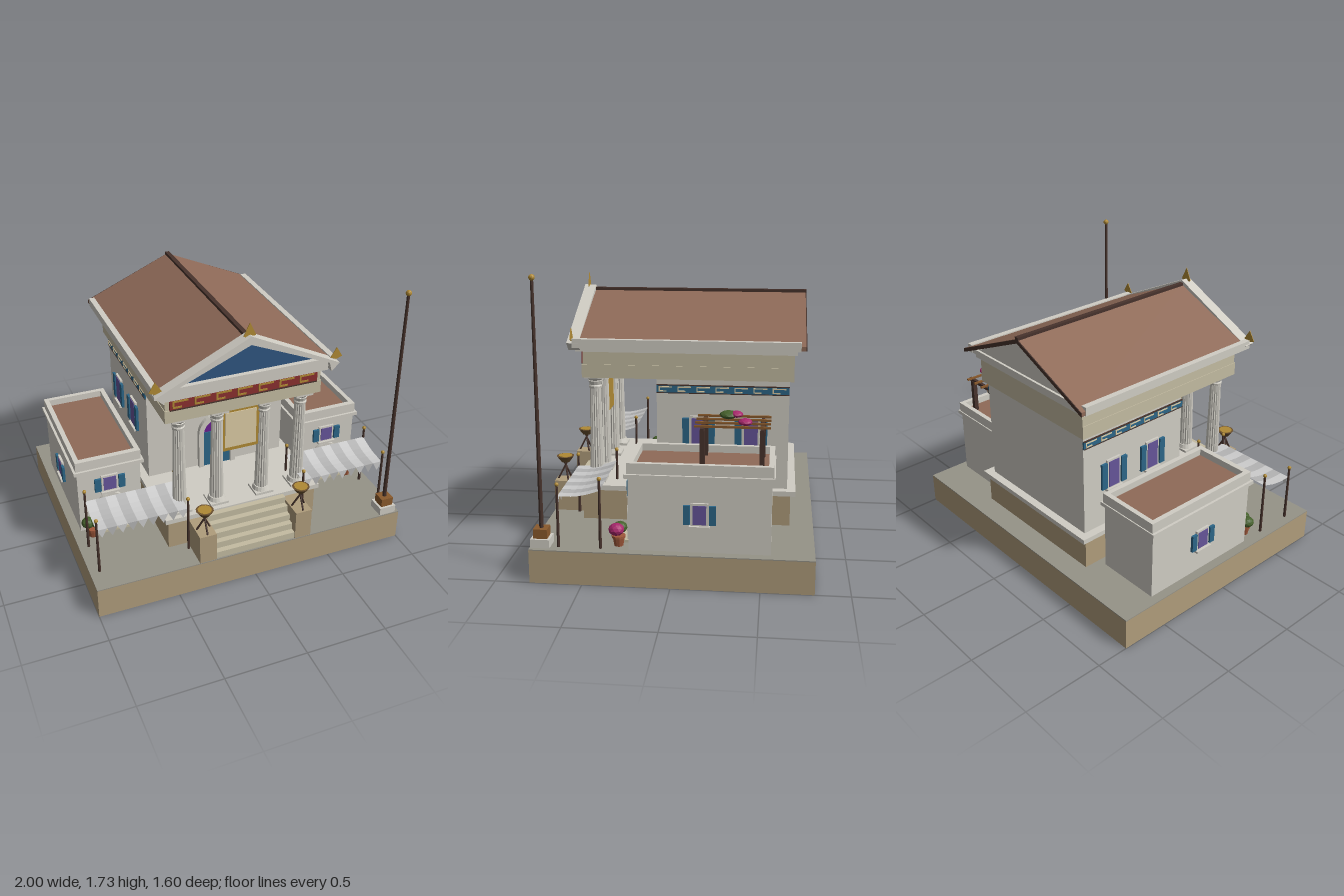
import * as THREE from 'three';

const mat = (color, extra = {}) => new THREE.MeshStandardMaterial({ color, flatShading: true, ...extra });
const M = {
  wall: mat(0xd0cdc4), tan: mat(0xb09d7c), cream: mat(0xc4bca2), paving: mat(0x969388), roof: mat(0x8f6a58),
  dark: mat(0x47332c), blue: mat(0x2c6688), navy: mat(0x2f5580), red: mat(0x8a3030), gold: mat(0xb08a35),
  linen: mat(0xdccba4), purple: mat(0x6a2090), glass: mat(0x66559a), bronze: mat(0x6b5030), clay: mat(0xa0583a),
  leaf: mat(0x45602c), flower: mat(0xa8286c), block: mat(0x8a5a2c),
  stripeA: mat(0xe6e6e6, { side: THREE.DoubleSide }), stripeB: mat(0xb4b4b4, { side: THREE.DoubleSide }),
};

function add(parent, name, geo, material, x = 0, y = 0, z = 0) {
  const m = new THREE.Mesh(geo, material);
  m.name = name;
  m.position.set(x, y, z);
  parent.add(m);
  return m;
}
// Box from its limits
const box = (p, name, m, x0, x1, y0, y1, z0, z1) =>
  add(p, name, new THREE.BoxGeometry(x1 - x0, y1 - y0, z1 - z0), m, (x0 + x1) / 2, (y0 + y1) / 2, (z0 + z1) / 2);
const rod = (p, name, m, r0, r1, x, y0, y1, z, n = 8) =>
  add(p, name, new THREE.CylinderGeometry(r1, r0, y1 - y0, n), m, x, (y0 + y1) / 2, z);
const extrude = (p, name, m, pts, z0, z1) =>
  add(p, name, new THREE.ExtrudeGeometry(new THREE.Shape(pts.map(q => new THREE.Vector2(...q))),
    { depth: z1 - z0, bevelEnabled: false }), m, 0, 0, z0);
function group(parent, name, x = 0, y = 0, z = 0, ry = 0) {
  const g = new THREE.Group();
  g.name = name;
  g.position.set(x, y, z);
  g.rotation.y = ry;
  parent.add(g);
  return g;
}

// Round-headed slab standing on y = 0, optionally with a round-headed opening
function archGeo(r, spring, depth, hole) {
  const trace = (s, q) => s.moveTo(-q, 0).lineTo(q, 0).lineTo(q, spring).absarc(0, spring, q, 0, Math.PI, false).lineTo(-q, 0);
  const s = new THREE.Shape();
  if (hole) {
    s.moveTo(-r, 0).lineTo(-hole, 0).lineTo(-hole, spring).absarc(0, spring, hole, Math.PI, 0, true)
      .lineTo(hole, 0).lineTo(r, 0).lineTo(r, spring).absarc(0, spring, r, 0, Math.PI, false).lineTo(-r, 0);
  } else trace(s, r);
  return new THREE.ExtrudeGeometry(s, { depth, bevelEnabled: false, curveSegments: 10 });
}

// Shuttered window facing +z, centred on its origin
function windowUnit(parent, w, h, x, y, z, ry) {
  const g = group(parent, 'window', x, y, z, ry), a = w / 2, b = h / 2;
  box(g, 'windowFrame', M.wall, -a - 0.012, a + 0.012, -b - 0.012, b + 0.012, 0, 0.014);
  box(g, 'windowPane', M.glass, -a, a, -b, b, 0.005, 0.018);
  box(g, 'windowSill', M.wall, -a - 0.02, a + 0.02, -b - 0.022, -b - 0.008, 0, 0.03);
  for (const s of [-1, 1])
    add(g, 'shutter', new THREE.BoxGeometry(w * 0.5, h, 0.016), M.blue, s * (a + 0.016 + w * 0.25), 0, 0.014);
}

// Band of key pattern facing +z
function meander(parent, name, len, h, n, back, front, x, y, z, ry = 0) {
  const g = group(parent, name, x, y, z, ry), p = len / n, t = h * 0.14;
  box(g, 'friezeBand', back, -len / 2, len / 2, -h / 2, h / 2, -0.004, 0.008);
  for (const s of [-1, 1])
    add(g, 'friezeEdge', new THREE.BoxGeometry(len, h * 0.1, 0.014), M.dark, 0, s * h * 0.47, 0.003);
  for (let i = 0; i < n; i++) {
    const x0 = -len / 2 + p * (i + 0.12);
    box(g, 'keyUpright', front, x0, x0 + t, -h * 0.32, h * 0.32, 0, 0.012);
    box(g, 'keyTop', front, x0, x0 + p * 0.72, h * 0.32 - t, h * 0.32, 0, 0.012);
    box(g, 'keyFoot', front, x0, x0 + p * 0.42, -h * 0.32, -h * 0.32 + t, 0, 0.012);
  }
}

// Fluted column with a moulded base and leafy capital
function column(parent, x, z) {
  const g = group(parent, 'column', x, 0.42, z);
  box(g, 'columnPlinth', M.wall, -0.06, 0.06, 0, 0.015, -0.06, 0.06);
  rod(g, 'columnBase', M.wall, 0.057, 0.048, 0, 0.015, 0.04, 0, 16);
  const shaft = new THREE.CylinderGeometry(0.034, 0.043, 0.55, 32, 1, true), p = shaft.attributes.position;
  for (let i = 0; i < p.count; i++) {
    const k = (i % 33) % 2 ? 0.88 : 1;
    p.setXYZ(i, p.getX(i) * k, p.getY(i), p.getZ(i) * k);
  }
  add(g, 'columnShaft', shaft, M.wall, 0, 0.315, 0);
  const prof = [[0.038, 0.58], [0.04, 0.592], [0.035, 0.6], [0.044, 0.625], [0.04, 0.628], [0.058, 0.65]];
  add(g, 'columnCapital', new THREE.LatheGeometry(prof.map(q => new THREE.Vector2(...q)), 12), M.wall);
  box(g, 'columnAbacus', M.wall, -0.056, 0.056, 0.645, 0.662, -0.056, 0.056);
}

function bush(parent, m, x, y, z, r, sy = 0.8) {
  add(parent, 'foliage', new THREE.IcosahedronGeometry(r, 1), m, x, y, z).scale.y = sy;
}

// Striped awning with a toothed front edge on four posts, s = side
function awning(root, s) {
  const g = group(root, 'awning'), n = 9, x0 = s > 0 ? 0.38 : -0.94, w = 0.56 / n;
  for (const x of [0.38, 0.94]) for (const [z, h] of [[0.4, 0.61], [0.64, 0.57]]) {
    rod(g, 'awningPost', M.dark, 0.009, 0.007, s * x, 0.2, h, z);
    add(g, 'awningFinial', new THREE.IcosahedronGeometry(0.012, 1), M.gold, s * x, h, z);
  }
  for (let i = 0; i < n; i++) {
    const m = i % 2 ? M.stripeB : M.stripeA, geo = new THREE.PlaneGeometry(w, 0.24, 1, 6), p = geo.attributes.position;
    for (let k = 0; k < p.count; k++) {
      const t = 0.5 - p.getY(k) / 0.24;
      p.setXYZ(k, x0 + w * (i + 0.5) + p.getX(k), 0.54 - 0.04 * t - 0.015 * Math.sin(Math.PI * t), 0.4 + 0.24 * t);
    }
    geo.computeVertexNormals();
    add(g, 'awningStripe', geo, m);
    const tooth = new THREE.Shape([[0, 0.5], [w / 2, 0.44], [w, 0.5]].map(q => new THREE.Vector2(...q)));
    add(g, 'awningTooth', new THREE.ShapeGeometry(tooth), m, x0 + w * i, 0, 0.64);
  }
}

// Side wing with parapet, door and windows
function wing(root, s) {
  const g = group(root, 'wing', s * 0.745), y = 0.71;
  box(g, 'wingWalls', M.wall, -0.2, 0.2, 0.2, 0.66, -0.555, 0.24);
  box(g, 'wingBand', M.wall, -0.22, 0.22, 0.625, 0.648, -0.572, 0.26);
  for (const k of [-1, 1]) box(g, 'parapetSide', M.wall, k * 0.19 - 0.015, k * 0.19 + 0.015, 0.64, y, -0.565, 0.245);
  box(g, 'parapetFront', M.wall, -0.2, 0.2, 0.64, y, 0.21, 0.245);
  box(g, 'parapetBack', M.wall, -0.2, 0.2, 0.64, y, -0.565, -0.535);
  box(g, 'wingRoof', M.roof, -0.18, 0.18, 0.655, 0.668, -0.54, 0.215);
  add(g, 'wingDoorSurround', archGeo(0.085, 0.17, 0.03, 0.065), M.wall, 0, 0.2, 0.235);
  add(g, 'wingDoor', archGeo(0.066, 0.17, 0.012), M.blue, 0, 0.2, 0.235);
  box(g, 'wingDoorstep', M.cream, -0.1, 0.1, 0.2, 0.215, 0.24, 0.31);
  windowUnit(g, 0.08, 0.09, 0, 0.525, 0.24, 0);
  windowUnit(g, 0.075, 0.11, s * 0.2, 0.425, -0.16, s * Math.PI / 2);
}

export function createModel() {
  const root = new THREE.Group();
  root.name = 'temple';

  // Ground, podium and stairs
  box(root, 'groundBase', M.tan, -1, 1, 0, 0.194, -0.8, 0.8);
  box(root, 'groundPaving', M.paving, -1, 1, 0.194, 0.2, -0.8, 0.8);
  box(root, 'podium', M.tan, -0.49, 0.49, 0.2, 0.39, -0.66, 0.59);
  box(root, 'podiumSlab', M.wall, -0.51, 0.51, 0.39, 0.42, -0.69, 0.61);
  for (let i = 0; i < 5; i++)
    box(root, 'step', M.cream, -0.26, 0.26, 0.2 + i * 0.042, 0.242 + i * 0.042, 0.59, 0.79 - i * 0.036);
  for (const s of [-1, 1]) box(root, 'stairCheek', M.tan, s * 0.313 - 0.053, s * 0.313 + 0.053, 0.2, 0.39, 0.59, 0.798);

  // Main hall
  box(root, 'hall', M.wall, -0.458, 0.458, 0.42, 1.08, -0.64, 0.14);
  add(root, 'mainDoorSurround', archGeo(0.125, 0.25, 0.03, 0.092), M.wall, 0, 0.42, 0.138);
  add(root, 'mainDoorArch', archGeo(0.093, 0.25, 0.012), M.purple, 0, 0.42, 0.138);
  box(root, 'mainDoor', M.blue, -0.092, 0.092, 0.42, 0.67, 0.14, 0.157);
  for (const s of [-1, 1]) {
    for (const z of [-0.11, -0.42]) windowUnit(root, 0.08, 0.17, s * 0.458, 0.76, z, s * Math.PI / 2);
    meander(root, 'sideFrieze', 0.78, 0.05, 7, M.blue, M.linen, s * 0.458, 1.018, -0.25, s * Math.PI / 2);
    for (const x of [0.15, 0.39]) column(root, s * x, 0.52);
  }

  // Hanging banner
  box(root, 'bannerFrame', M.gold, -0.13, 0.13, 0.765, 1.05, 0.505, 0.525);
  box(root, 'bannerCloth', M.linen, -0.1, 0.1, 0.79, 1.03, 0.52, 0.53);

  // Entablature
  box(root, 'architrave', M.cream, -0.49, 0.49, 1.08, 1.16, -0.665, 0.58);
  box(root, 'friezeBlock', M.cream, -0.486, 0.486, 1.16, 1.24, -0.665, 0.573);
  meander(root, 'frontFrieze', 0.92, 0.075, 7, M.red, M.gold, 0, 1.198, 0.577);
  box(root, 'lowerCornice', M.wall, -0.515, 0.515, 1.24, 1.275, -0.68, 0.61);
  box(root, 'upperCornice', M.wall, -0.545, 0.545, 1.27, 1.3, -0.695, 0.62);
  box(root, 'pedimentLedge', M.wall, -0.5, 0.5, 1.295, 1.325, 0.56, 0.625);
  for (const s of [-1, 1]) box(root, 'gutter', M.wall, s * 0.543 - 0.018, s * 0.543 + 0.018, 1.27, 1.322, -0.7, 0.62);

  // Pediment and roof
  extrude(root, 'gable', M.wall, [[-0.53, 1.275], [0.53, 1.275], [0, 1.522]], -0.68, 0.57);
  extrude(root, 'tympanum', M.navy, [[-0.48, 1.315], [0.48, 1.315], [0, 1.53]], 0.57, 0.595);
  extrude(root, 'roof', M.roof, [[-0.558, 1.275], [0, 1.52], [0.558, 1.275], [0.558, 1.3], [0, 1.545], [-0.558, 1.3]], -0.727, 0.58);
  extrude(root, 'roofBackEdge', M.dark, [[-0.56, 1.274], [0, 1.518], [0.56, 1.274], [0.56, 1.299], [0, 1.543], [-0.56, 1.299]], -0.732, -0.727);
  extrude(root, 'rakingCornice', M.wall, [[-0.515, 1.25], [-0.5, 1.308], [0, 1.52], [0.5, 1.308], [0.515, 1.25], [0.565, 1.298], [0, 1.572], [-0.565, 1.298]], 0.58, 0.65);
  box(root, 'ridgeCap', M.dark, -0.014, 0.014, 1.53, 1.556, -0.732, 0.58);
  for (const [x, y, k] of [[0, 1.565, 1], [-0.555, 1.325, 0.9], [0.555, 1.325, 0.9]])
    extrude(root, 'roofFinial', M.gold, [[0, -0.015], [0.038, 0], [0, 0.085 * k - 0.005 + (1 - k) * -0.1], [-0.038, 0]], 0.62, 0.624).position.set(x, y, 0.62);

  for (const s of [-1, 1]) {
    wing(root, s);
    awning(root, s);
    // Tripod brazier
    const b = group(root, 'brazier', s * 0.313, 0.39, 0.737);
    for (let i = 0; i < 3; i++) {
      const a = i * Math.PI * 2 / 3 + Math.PI / 2;
      const path = new THREE.LineCurve3(new THREE.Vector3(Math.cos(a) * 0.048, 0, Math.sin(a) * 0.048), new THREE.Vector3(-Math.cos(a) * 0.015, 0.12, -Math.sin(a) * 0.015));
      add(b, 'brazierLeg', new THREE.TubeGeometry(path, 1, 0.006, 6), M.dark);
    }
    rod(b, 'brazierBowl', M.bronze, 0.025, 0.054, 0, 0.11, 0.15, 0, 12);
    rod(b, 'brazierEmbers', M.gold, 0.042, 0.042, 0, 0.148, 0.153, 0, 12);
    // Potted plant
    const p = group(root, 'pottedPlant', s * 0.885, 0.2, 0.305);
    rod(p, 'pot', M.clay, 0.026, 0.035, 0, 0, 0.05, 0, 10);
    rod(p, 'potRim', M.clay, 0.04, 0.04, 0, 0.05, 0.062, 0, 10);
    bush(p, M.leaf, -0.025, 0.1, -0.005, 0.042);
    bush(p, s > 0 ? M.flower : M.leaf, 0.025, 0.105, 0.008, 0.045);
  }

  // Roof pergola on the left wing
  const pg = group(root, 'pergola');
  for (const z of [-0.165, -0.495]) {
    for (const x of [0.62, 0.86]) box(pg, 'pergolaPost', M.dark, x - 0.014, x + 0.014, 0.66, 0.885, z - 0.014, z + 0.014);
    box(pg, 'pergolaBeam', M.dark, 0.585, 0.895, 0.88, 0.9, z - 0.01, z + 0.01);
  }
  for (let i = 0; i < 4; i++) box(pg, 'pergolaRafter', M.block, 0.622 + i * 0.078, 0.634 + i * 0.078, 0.9, 0.912, -0.54, -0.12);
  bush(pg, M.leaf, 0.695, 0.932, -0.3, 0.052, 0.45);
  bush(pg, M.flower, 0.7, 0.937, -0.345, 0.038, 0.5);
  bush(pg, M.flower, 0.855, 0.935, -0.4, 0.04, 0.5);

  // Flagpole
  box(root, 'poleFoot', M.wall, 0.865, 0.975, 0.2, 0.25, 0.685, 0.795);
  box(root, 'poleBlock', M.block, 0.88, 0.96, 0.25, 0.305, 0.7, 0.78);
  rod(root, 'pole', M.dark, 0.013, 0.009, 0.92, 0.3, 1.71, 0.74);
  add(root, 'poleBall', new THREE.IcosahedronGeometry(0.018, 1), M.gold, 0.92, 1.715, 0.74);
  return root;
}
